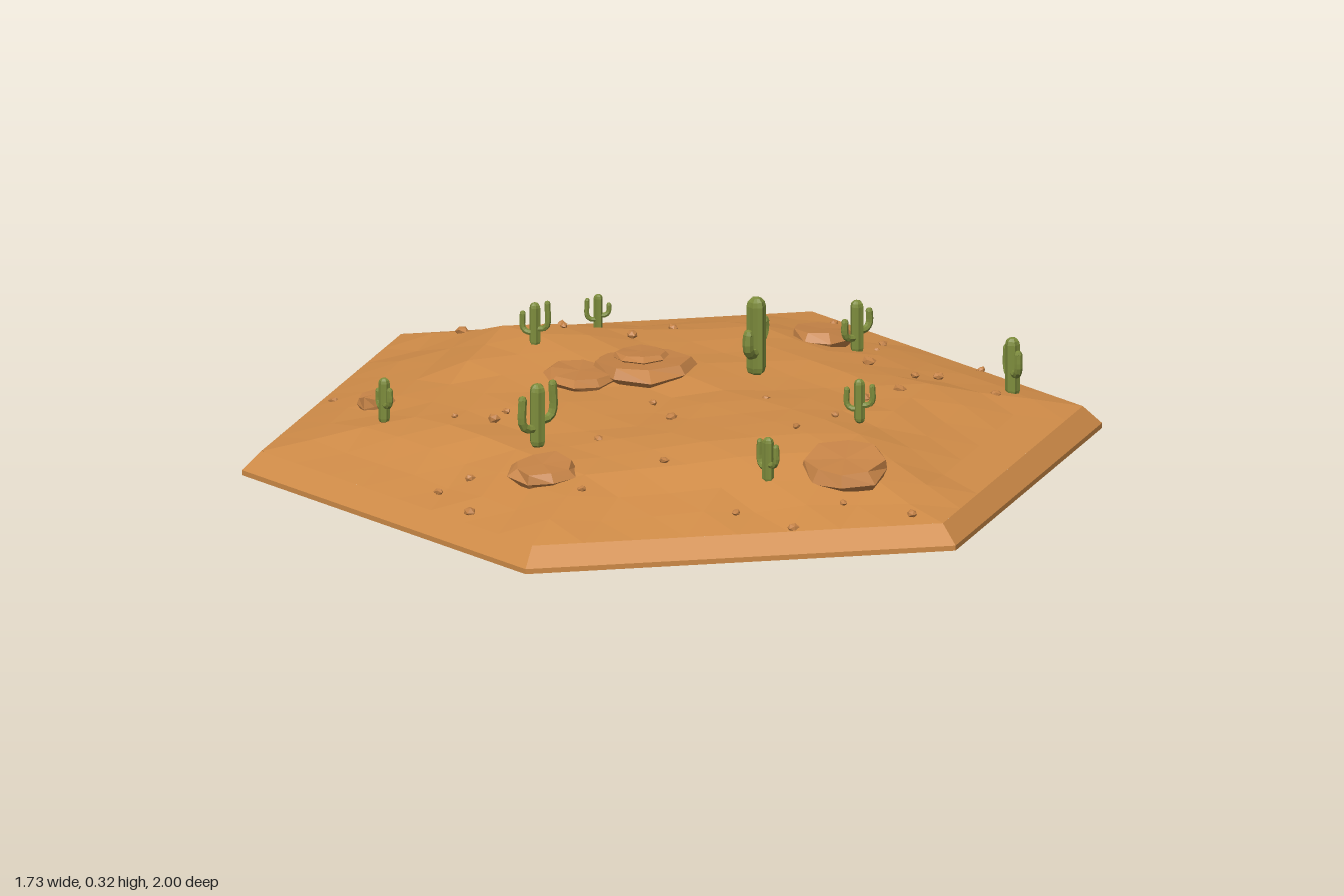
import * as THREE from 'three';

const sand = new THREE.MeshStandardMaterial({ color: 0xd08c48, flatShading: true, side: THREE.DoubleSide });
const stone = new THREE.MeshStandardMaterial({ color: 0xc48246, flatShading: true });
const green = new THREE.MeshStandardMaterial({ color: 0x7d8c3c, flatShading: true });

const INNER = 0.955, RIM_Y = 0.055, N = 8;

// repeatable noise in -1..1 from a position
function noise(x, y, z) {
  const s = Math.sin(Math.round(x * 1e3) * 12.99 + Math.round(y * 1e3) * 37.72 + Math.round(z * 1e3) * 78.23) * 4375.85;
  return (s - Math.floor(s)) * 2 - 1;
}

const bump = (x, z, cx, cz, w, h) => h * Math.exp(-((x - cx) ** 2 + (z - cz) ** 2) / (w * w));

// dune height: a low plateau rising from the rim, with two hills
function ground(x, z) {
  const m = Math.max(Math.abs(x), Math.abs(x) / 2 + Math.abs(z) * 0.866) / (INNER * 0.866);
  const rise = THREE.MathUtils.clamp((1 - m) / 0.4, 0, 1);
  return RIM_Y + rise * (0.072 + bump(x, z, -0.48, -0.28, 0.25, 0.042)
    + bump(x, z, 0.35, 0.22, 0.25, 0.036) + bump(x, z, 0, -0.2, 0.25, 0.012));
}

function mesh(name, geo, mat) {
  const g = geo.index ? geo.toNonIndexed() : geo;
  g.computeVertexNormals();
  const m = new THREE.Mesh(g, mat);
  m.name = name;
  return m;
}

// triangular grid filling the hexagon
function terrain() {
  const step = INNER / N, pos = [];
  const inside = (q, r) => Math.max(Math.abs(q), Math.abs(r), Math.abs(q + r)) <= N;
  const point = (q, r) => {
    const x = q * step * 0.866, z = (r + q / 2) * step;
    const edge = Math.max(Math.abs(q), Math.abs(r), Math.abs(q + r)) === N;
    return [x, edge ? RIM_Y : ground(x, z) + noise(x, 0, z) * 0.007, z];
  };
  const tri = (...c) => {
    if (c.every(([q, r]) => inside(q, r))) c.forEach(([q, r]) => pos.push(...point(q, r)));
  };
  for (let q = -N; q <= N; q++) for (let r = -N; r <= N; r++) {
    tri([q, r], [q, r + 1], [q + 1, r]);
    tri([q + 1, r], [q, r + 1], [q + 1, r + 1]);
  }
  const g = new THREE.BufferGeometry();
  g.setAttribute('position', new THREE.Float32BufferAttribute(pos, 3));
  return mesh('terrain', g, sand);
}

// flat-topped irregular slab
function slab(name, x, y, z, r, h, tiltX = 0, tiltZ = 0) {
  const pts = [[0, -0.5], [0.75, -0.5], [1, 0.05], [0.84, 0.5], [0, 0.5]].map(([a, b]) => new THREE.Vector2(a, b));
  const g = new THREE.LatheGeometry(pts, 8), p = g.attributes.position;
  for (let i = 0; i < p.count; i++) {
    const a = p.getX(i), b = p.getY(i), c = p.getZ(i);
    const k = Math.hypot(a, c) < 0.01 ? 0 : 1;
    const s = 1 + 0.12 * noise(a + x, k, c + z);
    p.setXYZ(i, a * s * r, (b + k * 0.1 * noise(a, b + z, c)) * h, c * s * r);
  }
  const m = mesh(name, g, stone);
  m.position.set(x, y, z);
  m.rotation.set(tiltX, x * 9, tiltZ);
  return m;
}

function pebble(x, z) {
  const r = 0.011 + 0.004 * noise(x, 1, z);
  const g = new THREE.IcosahedronGeometry(r, 0), p = g.attributes.position;
  for (let i = 0; i < p.count; i++) {
    const a = p.getX(i), b = p.getY(i), c = p.getZ(i), s = 1 + 0.2 * noise(a * 9, b * 9, c * 9);
    p.setXYZ(i, a * s * 1.2, b * s * 0.85, c * s);
  }
  const m = mesh('pebble', g, stone);
  m.position.set(x, ground(x, z) + 0.003, z);
  m.rotation.y = x * 20;
  return m;
}

// ribbed trunk with two upturned arms; arm values are tip heights as a share of h
function cactus(x, z, top, angle, armA, armB) {
  const group = new THREE.Group(), base = ground(x, z) - 0.008, h = top - base, r = h * 0.12;
  group.name = 'cactus';
  const tg = new THREE.CapsuleGeometry(r, h - 2 * r, 3, 12), p = tg.attributes.position;
  for (let i = 0; i < p.count; i++) {
    const a = Math.atan2(p.getZ(i), p.getX(i));
    const odd = Math.abs(Math.round(a / (Math.PI / 6))) % 2;
    if (odd) { p.setX(i, p.getX(i) * 0.82); p.setZ(i, p.getZ(i) * 0.82); }
  }
  const trunk = mesh('trunk', tg, green);
  trunk.position.y = h / 2;
  group.add(trunk);
  [[1, armA, 0.42], [-1, armB, 0.32]].forEach(([side, tip, start]) => {
    const ar = r * 0.55, out = side * h * 0.28;
    const path = new THREE.CatmullRomCurve3([[0, start], [0.7, start + 0.01], [1, start + 0.1], [1, tip - 0.06]]
      .map(([a, b]) => new THREE.Vector3(a * out, b * h, 0)));
    group.add(mesh('arm', new THREE.TubeGeometry(path, 8, ar, 7), green));
    const cap = mesh('armTip', new THREE.SphereGeometry(ar, 7, 4), green);
    cap.position.set(out, (tip - 0.06) * h, 0);
    group.add(cap);
  });
  group.position.set(x, base, z);
  group.rotation.y = angle;
  return group;
}

export function createModel() {
  const model = new THREE.Group();
  model.name = 'desertTile';

  // bevelled hexagonal rim, open underneath
  const rim = [[1, 0], [1, 0.012], [INNER, RIM_Y]].map(([a, b]) => new THREE.Vector2(a, b));
  model.add(mesh('rim', new THREE.LatheGeometry(rim, 6), sand), terrain());

  // large rocks
  [[-0.12, -0.14, 0.125, 0.045, 0.03, 0.05], [-0.24, -0.04, 0.085, 0.035, 0.1, 0.1],
    [0.15, -0.61, 0.075, 0.045, -0.1, 0.05], [0.55, 0.36, 0.105, 0.055, 0.12, -0.1],
    [-0.1, 0.6, 0.078, 0.045, 0.12, 0], [-0.66, 0.17, 0.042, 0.045, 0, 0.15]]
    .forEach(([x, z, r, h, tx, tz]) => model.add(slab('rock', x, ground(x, z) + 0.004, z, r, h, tx, tz)));
  model.add(slab('rockCap', -0.13, ground(-0.13, -0.16) + 0.027, -0.16, 0.066, 0.024, 0, 0.05));

  // scattered pebbles
  [[0.09, -0.85], [0.26, -0.71], [0.28, -0.61], [0.52, -0.65], [-0.18, -0.51], [-0.64, -0.37], [-0.4, -0.37],
    [-0.38, -0.33], [-0.23, -0.38], [0.45, -0.39], [0.49, -0.44], [0.65, -0.38], [0.47, -0.23], [0.42, -0.13],
    [0.22, -0.02], [0.42, 0.07], [-0.79, 0.09], [-0.02, 0.07], [0.06, 0.17], [0.38, 0.22], [-0.42, 0.3],
    [-0.33, 0.29], [-0.05, 0.36], [-0.32, 0.23], [0.15, 0.48], [0.38, 0.63], [0.52, 0.64], [-0.27, 0.62],
    [-0.32, 0.69], [0.02, 0.67], [-0.21, 0.79], [0.59, 0.49], [0.75, 0.47], [0.32, -0.44], [-0.05, -0.73]]
    .forEach(([x, z]) => model.add(pebble(x, z)));

  // cacti: x, z, top height, turn, arm tip heights
  [[-0.35, -0.48, 0.2, 0.5, 0.75, 0.9], [-0.4, -0.19, 0.26, 0, 1.06, 0.78],
    [0.126, -0.22, 0.32, Math.PI / 2, 0.68, 0.66], [0.25, -0.56, 0.225, 1.05, 0.8, 0.7],
    [0.67, -0.44, 0.215, -0.9, 0.85, 0.8], [0.48, 0.07, 0.245, 0.1, 0.9, 0.8],
    [0.4, 0.47, 0.215, -0.6, 0.9, 0.9], [-0.17, 0.44, 0.275, 1.0, 1, 0.85],
    [-0.585, 0.32, 0.21, -0.8, 0.85, 0.7]]
    .forEach((c) => model.add(cactus(...c)));

  return model;
}
